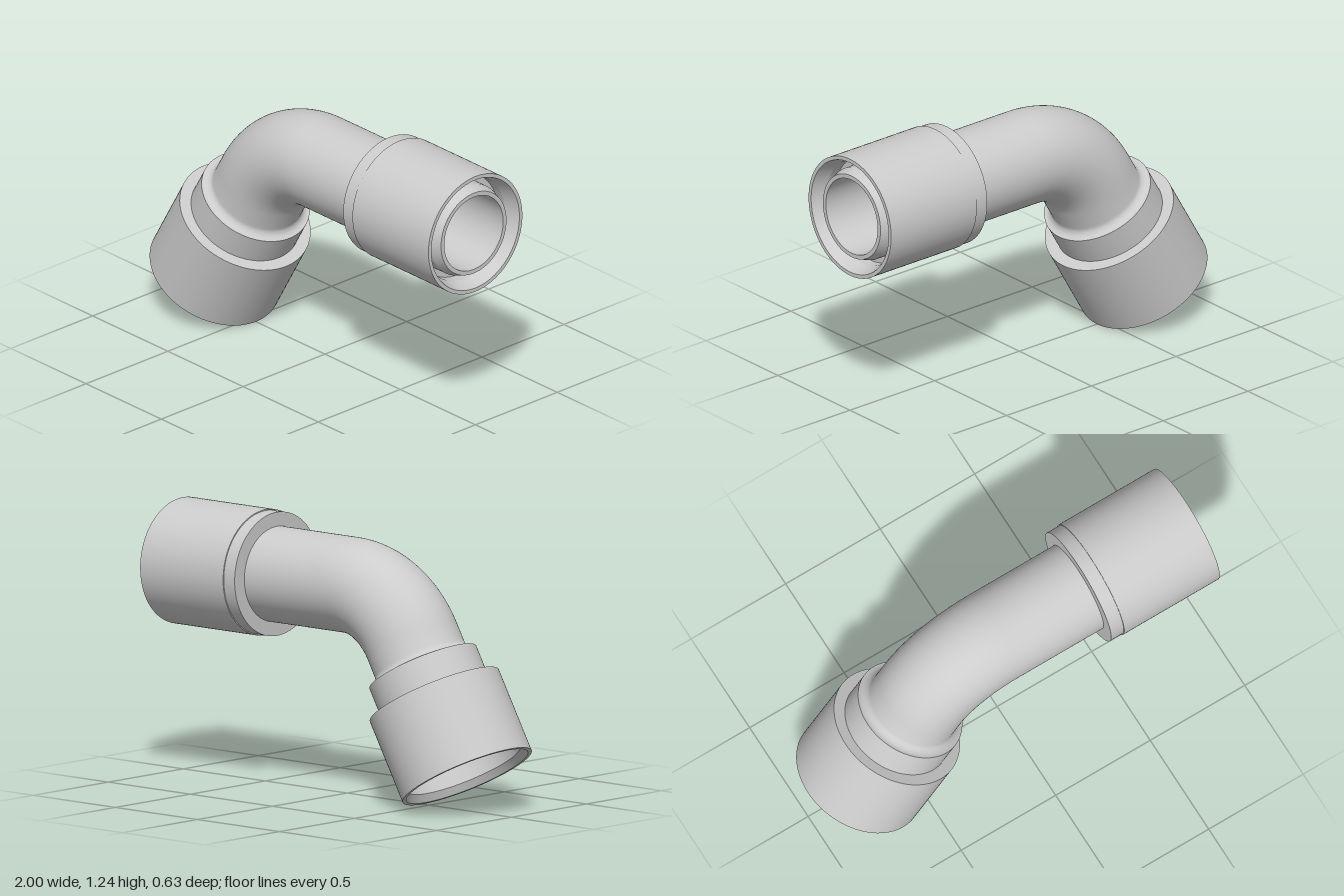
import * as THREE from 'three';
import { toCreasedNormals } from 'three/addons/utils/BufferGeometryUtils.js';

const PIPE = 0.217, BORE = 0.18;       // pipe radii
const BEND = 0.433, ARC = Math.PI / 3; // bend radius and sweep
const CX = -0.021, CY = 0.522;         // bend centre

export function createModel() {
  const group = new THREE.Group();
  const grey = new THREE.MeshStandardMaterial({ color: 0xcccccc });
  const inside = new THREE.MeshStandardMaterial({ color: 0xcccccc, side: THREE.BackSide });

  function add(name, geometry, material = grey) {
    const mesh = new THREE.Mesh(geometry, material);
    mesh.name = name;
    group.add(mesh);
    return mesh;
  }

  // Turned end piece: profile of [radius, distance], outside first, then back down the bore
  function addEnd(name, profile, x, y, turn) {
    const points = profile.map(([r, d]) => new THREE.Vector2(r, d));
    const mesh = add(name, toCreasedNormals(new THREE.LatheGeometry(points, 96), 0.25));
    mesh.position.set(x, y, 0);
    mesh.rotation.z = turn;
  }

  // Curved middle of the pipe, outer skin and bore
  for (const [name, r, material] of [['pipeBend', PIPE, grey], ['boreBend', BORE, inside]]) {
    const geometry = new THREE.TorusGeometry(BEND, r, 96, 48, ARC);
    geometry.rotateZ(Math.PI / 2);
    add(name, geometry, material).position.set(CX, CY, 0);
  }

  // Straight arm with its socket nut, recessed ring and chamfered pipe tip
  addEnd('socketArm', [
    [PIPE, 0], [PIPE, 0.45], [0.282, 0.45], [0.282, 0.516], [0.287, 0.516],
    [0.287, 1.021], [0.269, 1.021], [0.246, 0.95], [0.246, 0.9],
    [0.217, 0.9], [0.217, 0.96], [0.2, 1.01], [BORE, 1.01], [BORE, 0],
  ], CX, CY + BEND, -Math.PI / 2);

  // Concave fillet from the pipe out to the collar edge
  const fillet = [];
  for (let i = 0; i <= 8; i++) {
    const a = (i / 8) * Math.PI / 2;
    fillet.push([PIPE + 0.038 * (1 - Math.cos(a)), 0.09 + 0.038 * Math.sin(a)]);
  }

  // Lower arm with collar and large open nut
  addEnd('nutArm', [
    [PIPE, 0], ...fillet, [0.259, 0.128], [0.259, 0.268], [0.313, 0.268],
    [0.313, 0.668], [0.295, 0.668], [0.27, 0.635], [0.27, 0.42],
    [BORE, 0.36], [BORE, 0],
  ], CX - BEND * Math.sin(ARC), CY + BEND * Math.cos(ARC), Math.PI / 2 + ARC);

  return group;
}
